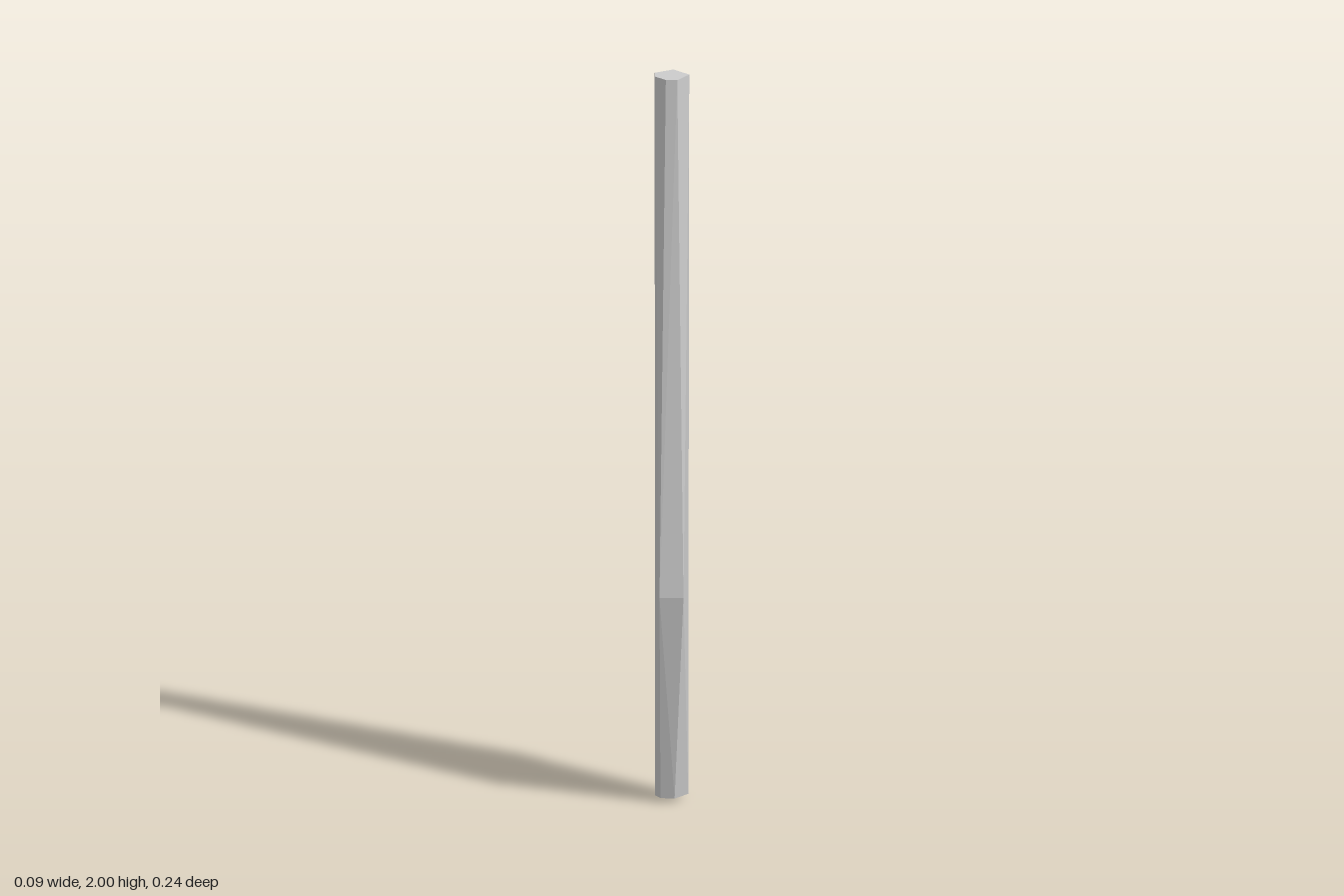
import * as THREE from 'three';
import { ConvexGeometry } from 'three/addons/geometries/ConvexGeometry.js';

export function createModel() {
  const group = new THREE.Group();
  group.name = 'shard';

  // Cross-sections as [x, z] corners at a given height
  const ring = (y, corners) => corners.map(([x, z]) => new THREE.Vector3(x, y, z));

  const topEnd = ring(2, [
    [0.005, -0.065], [0.045, -0.022], [0.012, 0.023],
    [-0.018, 0.02], [-0.045, -0.008], [-0.045, -0.04],
  ]);
  const widest = ring(0.6, [
    [-0.038, -0.122], [0.025, -0.122], [0.025, 0.12], [-0.038, 0.12],
  ]);
  const bottomEnd = ring(0.012, [
    [0.005, -0.06], [0.042, -0.012], [0.005, 0.025],
    [-0.032, 0.02], [-0.045, -0.002], [-0.045, -0.033],
  ]);
  // Slightly pointed foot
  const foot = ring(0, [[-0.01, -0.015]]);

  // Faceted convex body stretched over the sections
  const body = new THREE.Mesh(
    new ConvexGeometry([...topEnd, ...widest, ...bottomEnd, ...foot]),
    new THREE.MeshStandardMaterial({ color: 0xcccccc, flatShading: true })
  );
  body.name = 'body';
  group.add(body);
  return group;
}
